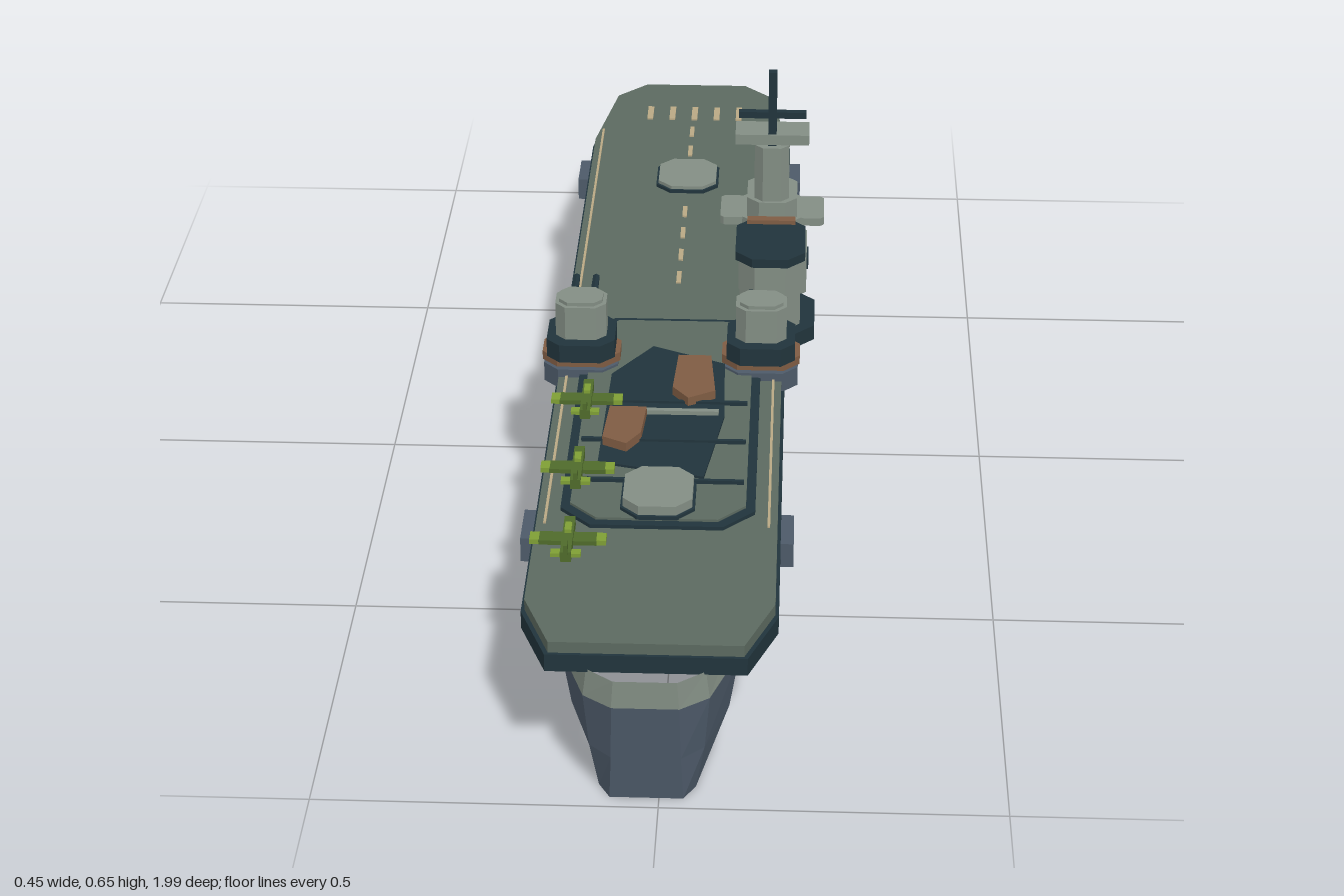
import * as THREE from 'three';

const CX = -0.018; // ship centreline

function mat(name, color, double) {
  const m = new THREE.MeshStandardMaterial({ color });
  m.name = name;
  m.flatShading = true;
  if (double) m.side = THREE.DoubleSide;
  return m;
}

export function createModel() {
  const ship = new THREE.Group();
  ship.name = 'carrierShip';
  const deckGreen = mat('deckGreen', 0x5c6a60);
  const dark = mat('darkTeal', 0x21343c);
  const grey = mat('paleGrey', 0x838e84, true);
  const blue = mat('hullBlueGrey', 0x4d5a69, true);
  const brown = mat('rustBrown', 0x7f5c43);
  const cream = mat('cream', 0xb9a884);
  const olive = mat('olive', 0x4f6b2b);
  const lime = mat('leafGreen', 0x7f9f35);

  function add(name, geo, material, parent = ship) {
    const m = new THREE.Mesh(geo, material);
    m.name = name;
    parent.add(m);
    return m;
  }
  // Box given by its centre and size
  function box(name, material, x, y, z, w, h, d, parent) {
    const m = add(name, new THREE.BoxGeometry(w, h, d), material, parent);
    m.position.set(x, y, z);
    return m;
  }
  // Flat slab from an outline of [x, z] points
  function slab(name, material, pts, y0, y1, parent) {
    const shape = new THREE.Shape(pts.map(([x, z]) => new THREE.Vector2(x, -z)));
    const g = new THREE.ExtrudeGeometry(shape, { depth: y1 - y0, bevelEnabled: false });
    g.rotateX(-Math.PI / 2);
    g.translate(0, y0, 0);
    return add(name, g, material, parent);
  }
  // Rectangle outline with cut corners
  function cut(x0, x1, z0, z1, c) {
    return [[x0 + c, z0], [x1 - c, z0], [x1, z0 + c], [x1, z1 - c],
      [x1 - c, z1], [x0 + c, z1], [x0, z1 - c], [x0, z0 + c]];
  }
  // Mirror [half width, z] points about the centreline
  function mirrored(half, inset = 0) {
    const right = half.map(([w, z]) => [CX + w - inset, z - Math.sign(z) * inset]);
    const left = half.map(([w, z]) => [CX - w + inset, z - Math.sign(z) * inset]);
    return right.concat(left.reverse());
  }

  // Hull: sections as [z, half width at the widest level, keel half width]
  const sections = [[0.995, 0.048, 0.053], [0.965, 0.09, 0.07], [0.85, 0.13, 0.09],
    [0.55, 0.153, 0.102], [0.1, 0.158, 0.104], [-0.4, 0.154, 0.098], [-0.68, 0.128, 0.07],
    [-0.87, 0.068, 0.03], [-0.96, 0.026, 0.01], [-0.995, 0.002, 0.002]];
  const levels = [[0, 0], [0.075, 0.63], [0.167, 1], [0.212, 0.9]];
  function hullPoint(s, level, side) {
    const [z, wide, keel] = sections[s];
    const [y, k] = levels[level];
    const w = level === 3 ? wide * 0.94 : keel + (wide - keel) * k;
    const end = Math.abs(z) > 0.9 ? Math.sign(z) * 0.018 * Math.max(0, 1 - y / 0.167) : 0;
    return [CX + side * w, y, z - end];
  }
  function hullBand(name, material, from, to) {
    const pos = [];
    const quad = (a, b, c, d) => pos.push(...a, ...b, ...c, ...a, ...c, ...d);
    for (let l = from; l < to; l++) {
      for (let s = 0; s < sections.length - 1; s++) {
        quad(hullPoint(s, l, 1), hullPoint(s + 1, l, 1), hullPoint(s + 1, l + 1, 1), hullPoint(s, l + 1, 1));
        quad(hullPoint(s + 1, l, -1), hullPoint(s, l, -1), hullPoint(s, l + 1, -1), hullPoint(s + 1, l + 1, -1));
      }
      const e = sections.length - 1;
      quad(hullPoint(0, l, -1), hullPoint(0, l, 1), hullPoint(0, l + 1, 1), hullPoint(0, l + 1, -1));
      quad(hullPoint(e, l, 1), hullPoint(e, l, -1), hullPoint(e, l + 1, -1), hullPoint(e, l + 1, 1));
    }
    const g = new THREE.BufferGeometry();
    g.setAttribute('position', new THREE.Float32BufferAttribute(pos, 3));
    g.computeVertexNormals();
    add(name, g, material);
  }
  hullBand('lowerHull', blue, 0, 2);
  hullBand('upperHull', grey, 2, 3);

  // Flight deck: dark rim with green top
  const deck = [[0.1, -0.97], [0.153, -0.915], [0.185, -0.715], [0.185, 0.86], [0.143, 0.967]];
  slab('deckRim', dark, mirrored(deck), 0.208, 0.236);
  slab('flightDeck', deckGreen, mirrored(deck, 0.005), 0.236, 0.254);

  // Deck markings
  for (let i = 0; i < 5; i++) box('bowStripe', cream, -0.1 + i * 0.042, 0.255, -0.828, 0.011, 0.004, 0.055);
  for (let i = 0; i < 8; i++) {
    const z = -0.745 + i * 0.085;
    if (z < -0.62 || z > -0.47) box('centreDash', cream, CX, 0.255, z, 0.008, 0.004, 0.04);
  }
  for (const s of [-1, 1]) box('edgeStripe', cream, CX + s * 0.167, 0.255, -0.05, 0.004, 0.004, 1.4);

  // Side boxes below the deck edge
  for (const s of [-1, 1])
    for (const z of [0.607, -0.047, -0.635]) box('sideBox', blue, CX + s * 0.186, 0.205, z, 0.037, 0.04, 0.082);

  // Raised aft platform, patches and wires
  slab('platformRim', dark, cut(-0.164, 0.128, 0.01, 0.66, 0.047), 0.254, 0.26);
  slab('platformTop', deckGreen, cut(-0.15, 0.114, 0.024, 0.646, 0.041), 0.258, 0.264);
  slab('darkPatch', dark, [[-0.048, 0.12], [0.07, 0.175], [0.074, 0.345], [0.048, 0.53],
    [-0.116, 0.49], [-0.111, 0.215]], 0.263, 0.268);
  slab('brownPlate', brown, [[-0.005, 0.175], [0.048, 0.175], [0.058, 0.29], [0.016, 0.315],
    [-0.01, 0.28]], 0.268, 0.283);
  slab('brownPlate', brown, [[-0.106, 0.345], [-0.048, 0.345], [-0.053, 0.425], [-0.074, 0.46],
    [-0.112, 0.44]], 0.268, 0.283);
  for (const z of [0.305, 0.425, 0.545]) box('deckWire', dark, -0.018, 0.269, z, 0.255, 0.006, 0.006);
  box('deckBarrier', grey, -0.02, 0.272, 0.34, 0.17, 0.007, 0.009);

  // Aircraft lifts
  for (const [z, y] of [[-0.545, 0.254], [0.587, 0.263]]) {
    slab('liftFrame', dark, cut(-0.074, 0.038, z - 0.062, z + 0.062, 0.026), y, y + 0.006);
    slab('liftPlate', grey, cut(-0.07, 0.034, z - 0.058, z + 0.058, 0.024), y + 0.005, y + (z > 0 ? 0.021 : 0.012));
  }

  // Gun turrets facing the bow
  for (const x of [-0.163, 0.128]) {
    const turret = new THREE.Group();
    turret.name = 'gunTurret';
    turret.position.set(x, 0, 0.15);
    ship.add(turret);
    const oct = (name, m, r, y0, y1, d = r) => slab(name, m, cut(-r, r, -d, d, r * 0.4), y0, y1, turret);
    oct('sponson', blue, 0.06, 0.235, 0.268, 0.055);
    oct('turretRing', brown, 0.063, 0.268, 0.283, 0.045);
    oct('turretBase', dark, 0.055, 0.281, 0.312);
    oct('turretHouse', grey, 0.041, 0.312, 0.37, 0.034);
    oct('turretRoof', grey, 0.035, 0.37, 0.376, 0.028);
    for (const s of [-1, 1]) {
      const barrel = add('gunBarrel', new THREE.CylinderGeometry(0.006, 0.007, 0.1, 6), dark, turret);
      barrel.rotation.x = -Math.PI / 2;
      barrel.position.set(s * 0.016, 0.347, -0.07);
    }
  }

  // Funnel
  slab('funnelFoot', dark, cut(0.085, 0.214, -0.06, 0.09, 0.03), 0.254, 0.28);
  slab('funnelBody', grey, cut(0.09, 0.19, -0.055, 0.08, 0.025), 0.28, 0.402);
  slab('funnelCap', dark, cut(0.083, 0.197, -0.062, 0.09, 0.028), 0.4, 0.415);
  box('funnelVent', brown, 0.14, 0.418, -0.047, 0.08, 0.008, 0.016);

  // Command tower
  slab('towerBase', grey, cut(0.085, 0.2, -0.235, -0.1, 0.015), 0.25, 0.315);
  slab('towerMiddle', grey, cut(0.09, 0.19, -0.228, -0.108, 0.02), 0.315, 0.385);
  slab('towerWings', grey, cut(0.052, 0.228, -0.24, -0.155, 0.006), 0.356, 0.37);
  slab('towerBridge', grey, cut(0.098, 0.182, -0.215, -0.11, 0.02), 0.385, 0.42);
  slab('towerUpper', grey, cut(0.11, 0.168, -0.185, -0.115, 0.014), 0.42, 0.518);
  box('towerTopPlate', grey, 0.139, 0.53, -0.15, 0.123, 0.018, 0.055);
  box('bridgeWindow', dark, 0.14, 0.39, -0.23, 0.07, 0.018, 0.006);
  box('towerDoor', brown, 0.14, 0.28, -0.236, 0.022, 0.025, 0.006);
  box('sideWindow', dark, 0.2, 0.29, -0.165, 0.006, 0.018, 0.05);
  box('mast', dark, 0.139, 0.583, -0.133, 0.014, 0.135, 0.014);
  box('mastYard', dark, 0.139, 0.573, -0.133, 0.112, 0.011, 0.012);

  // Parked aircraft, noses toward the bow
  for (const z of [0.33, 0.54, 0.742]) {
    const plane = new THREE.Group();
    plane.name = 'aircraft';
    plane.position.set(-0.143, 0.284, z);
    ship.add(plane);
    box('fuselage', olive, 0, 0.002, 0, 0.016, 0.016, 0.1, plane);
    box('wing', olive, 0, 0, -0.004, 0.085, 0.007, 0.026, plane);
    for (const s of [-1, 1]) box('wingTip', lime, s * 0.049, 0, -0.004, 0.014, 0.008, 0.022, plane);
    box('tailplane', lime, 0, 0.004, 0.042, 0.044, 0.006, 0.014, plane);
    box('tailFin', olive, 0, 0.014, 0.043, 0.006, 0.016, 0.016, plane);
    box('canopy', lime, 0, 0.012, -0.014, 0.01, 0.007, 0.022, plane);
  }
  return ship;
}
